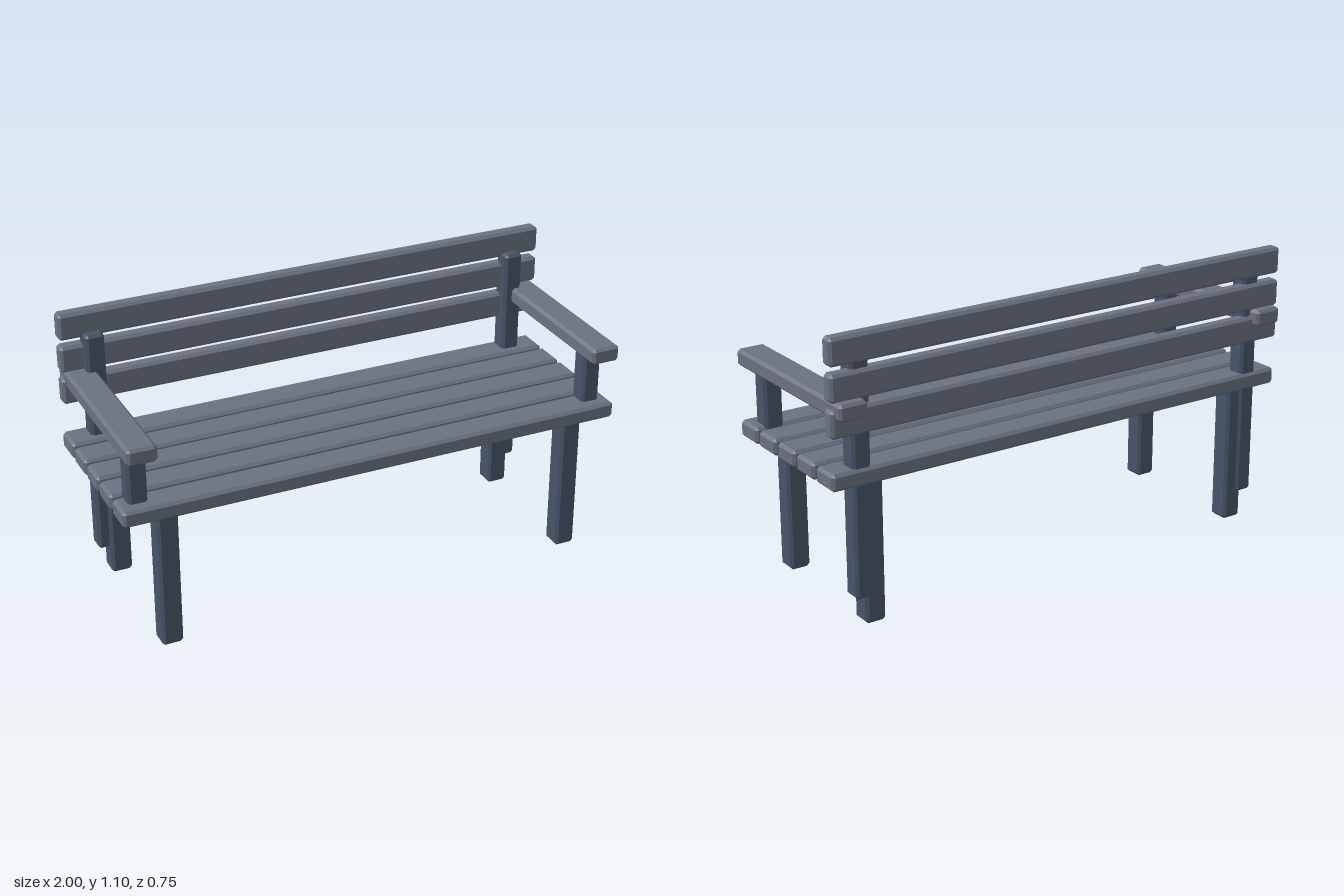
import * as THREE from 'three';
import { ConvexGeometry } from 'three/addons/geometries/ConvexGeometry.js';

const slatMaterial = new THREE.MeshStandardMaterial({ color: 0x6b7280, flatShading: true });
const frameMaterial = new THREE.MeshStandardMaterial({ color: 0x475569, flatShading: true });

// Box with single-step chamfered edges and corners
function chamferBox(w, h, d, c = 0.011) {
  const half = [w / 2, h / 2, d / 2];
  const points = [];
  for (const sx of [-1, 1]) for (const sy of [-1, 1]) for (const sz of [-1, 1]) {
    for (let axis = 0; axis < 3; axis++) {
      const p = half.map((v, i) => (i === axis ? v : v - c));
      points.push(new THREE.Vector3(p[0] * sx, p[1] * sy, p[2] * sz));
    }
  }
  return new ConvexGeometry(points);
}

export function createModel() {
  const bench = new THREE.Group();
  bench.name = 'bench';

  function beam(name, material, [w, h, d], [x, y, z]) {
    const mesh = new THREE.Mesh(chamferBox(w, h, d), material);
    mesh.name = name;
    mesh.position.set(x, y, z);
    bench.add(mesh);
  }

  // Five seat slats
  for (let i = -2; i <= 2; i++) {
    beam('seatSlat', slatMaterial, [2, 0.065, 0.121], [0, 0.575, i * 0.139]);
  }

  // Three backrest slats
  for (let i = 0; i < 3; i++) {
    beam('backSlat', slatMaterial, [2, 0.104, 0.056], [0, 0.789 + i * 0.13, -0.317]);
  }

  // Legs, posts and armrests, mirrored on both sides
  for (const [side, s] of [['left', 1], ['right', -1]]) {
    beam(side + 'FrontLeg', frameMaterial, [0.082, 0.56, 0.084], [s * 0.828, 0.28, 0.277]);
    beam(side + 'BackLeg', frameMaterial, [0.082, 0.56, 0.084], [s * 0.828, 0.28, -0.277]);
    beam(side + 'BackPost', frameMaterial, [0.074, 0.908, 0.077], [s * 0.875, 0.563, -0.29]);
    beam(side + 'ArmPost', frameMaterial, [0.074, 0.26, 0.077], [s * 0.924, 0.69, 0.251]);
    beam(side + 'Armrest', slatMaterial, [0.114, 0.065, 0.75], [s * 0.928, 0.837, 0]);
  }

  return bench;
}
